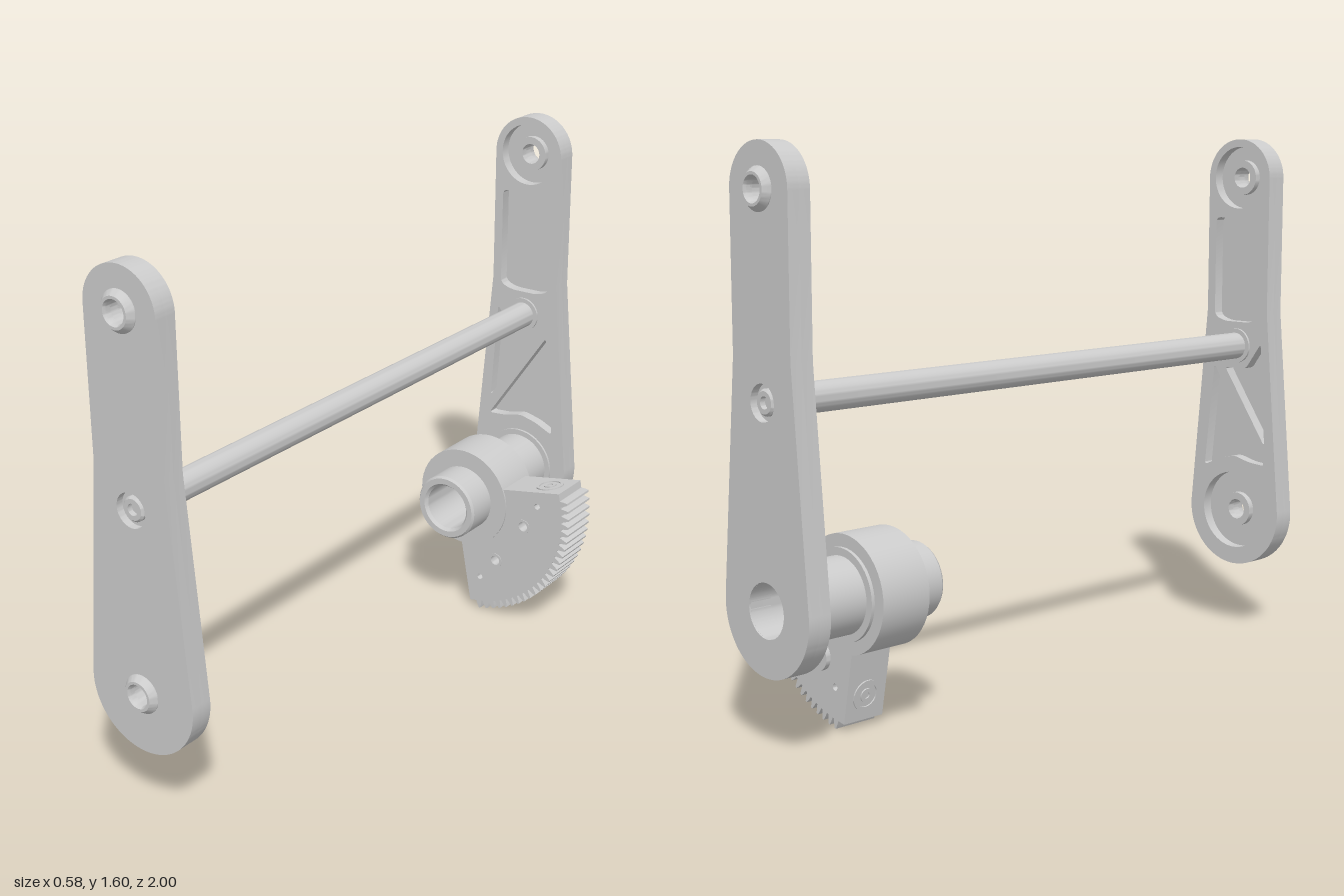
import * as THREE from 'three';
import { toCreasedNormals } from 'three/addons/utils/BufferGeometryUtils.js';

const material = new THREE.MeshStandardMaterial({ color: 0xcccccc });
const AXIS_X = -0.11, TOP = 1.478, MID = 0.938, LOW = 0.395;

function add(group, name, geometry, x = 0, y = 0, z = 0) {
  const mesh = new THREE.Mesh(toCreasedNormals(geometry, 0.5), material);
  mesh.name = name;
  mesh.position.set(x, y, z);
  group.add(mesh);
  return mesh;
}

// Extrude a shape between two z levels
function slab(shape, za, zb) {
  const g = new THREE.ExtrudeGeometry(shape, { depth: Math.abs(zb - za), bevelEnabled: false, curveSegments: 32 });
  return g.translate(0, 0, Math.min(za, zb));
}

// Turned part about z; profile is [radius, z] counter-clockwise, s = -1 mirrors it in z
function turned(profile, s = 1) {
  const pts = profile.map(([r, z]) => new THREE.Vector2(r, z * s));
  if (s < 0) pts.reverse();
  pts.push(pts[0].clone());
  return new THREE.LatheGeometry(pts, 48).rotateX(Math.PI / 2);
}

const tube = (ro, ri, z0, z1, s = 1) => turned([[ri, z0], [ro, z0], [ro, z1], [ri, z1]], s);

function circle(y, r, x = 0) {
  return new THREE.Path().absarc(x, y, r, 0, Math.PI * 2, true);
}

// Closed polygon with rounded corners
function roundedPath(points, r) {
  const p = points.map(([x, y]) => new THREE.Vector2(x, y));
  const path = new THREE.Path();
  p.forEach((c, i) => {
    const prev = p[(i + p.length - 1) % p.length], next = p[(i + 1) % p.length];
    const a = c.clone().add(prev.clone().sub(c).setLength(r));
    const b = c.clone().add(next.clone().sub(c).setLength(r));
    if (i) path.lineTo(a.x, a.y); else path.moveTo(a.x, a.y);
    path.quadraticCurveTo(c.x, c.y, b.x, b.y);
  });
  path.closePath();
  return path;
}

function armOutline() {
  const s = new THREE.Shape();
  s.absarc(0, TOP, 0.122, 0, Math.PI, false);
  s.lineTo(-0.122, 1.05);
  s.absarc(0, LOW, 0.18, Math.PI - 0.09, Math.PI * 2 + 0.09, false);
  s.lineTo(0.122, 1.05);
  s.closePath();
  return s;
}

// Side arm with pockets on its inner face; s is the side along z
function arm(s) {
  const g = new THREE.Group();
  g.name = s > 0 ? 'frontArm' : 'rearArm';
  g.position.x = AXIS_X;
  const front = s > 0;

  const floor = armOutline();
  floor.holes.push(circle(TOP, 0.032), circle(MID, 0.05), circle(LOW, front ? 0.032 : 0.075));
  add(g, 'armWeb', slab(floor, s * 0.945, s * 0.98));

  const frame = armOutline();
  frame.holes.push(
    circle(TOP, 0.098),
    circle(LOW, front ? 0.125 : 0.075),
    roundedPath([[-0.092, 1.35], [-0.092, 1.03], [-0.05, 1.015], [0.05, 1.015], [0.092, 1.03], [0.092, 1.35]], 0.02),
    roundedPath([[-0.1, 0.95], [-0.122, 0.62], [0.045, 0.865], [-0.04, 0.865]], 0.015),
    roundedPath([[0.09, 0.87], [-0.125, 0.555], [-0.06, 0.56], [0, 0.575], [0.06, 0.56], [0.125, 0.53]], 0.015)
  );
  add(g, 'armRibs', slab(frame, s * 0.91, s * 0.945));

  // Pivot bosses: cone outside, low collar inside
  for (const y of front ? [TOP, LOW] : [TOP]) {
    add(g, 'pivotBoss', turned([[0.032, 0.975], [0.058, 0.975], [0.058, 0.982], [0.044, 1], [0.036, 1], [0.032, 0.992]], s), 0, y);
    add(g, 'pivotCollar', tube(0.055, 0.032, 0.925, 0.95, s), 0, y);
  }
  // Sunken screw holding the cross rod
  add(g, 'rodScrewSeat', tube(0.05, 0.001, 0.94, 0.958, s), 0, MID);
  add(g, 'rodScrewHead', turned([[0.017, 0.95], [0.036, 0.95], [0.036, 0.968], [0.03, 0.974], [0.017, 0.974]], s), 0, MID);
  add(g, 'rodCollar', tube(0.056, 0.03, 0.903, 0.92, s), 0, MID);
  return g;
}

// Toothed sector clamped on the shaft
function gearSector() {
  const g = new THREE.Group();
  g.name = 'gearSector';
  g.position.set(AXIS_X, LOW, 0);
  const deg = Math.PI / 180, root = 0.374, tip = 0.4, z0 = -0.705, z1 = -0.57;
  const teeth = 24, first = -79.8, pitch = 3.95;
  const at = (r, a) => new THREE.Vector2(r * Math.cos(a * deg), r * Math.sin(a * deg));
  const pts = [at(0.05, -34.4), at(0.135, -95), at(0.376, -85.1)];
  for (let i = 0; i < teeth; i++) {
    const a = first + i * pitch;
    pts.push(at(root, a - 1.5), at(0.388, a - 1), at(tip, a - 0.45), at(tip, a + 0.45), at(0.388, a + 1), at(root, a + 1.5));
  }
  pts.push(at(0.376, 16.3), at(0.135, 26.2));
  const shape = new THREE.Shape(pts);
  const holes = [-11, -57].map(a => at(0.236, a));
  const pins = [8, -76].map(a => at(0.285, a));
  for (const h of holes) shape.holes.push(circle(h.y, 0.023, h.x));
  for (const h of pins) shape.holes.push(circle(h.y, 0.01, h.x));
  add(g, 'toothedSector', slab(shape, z0, z1));

  // Screws and pins through the sector
  for (const h of holes) {
    add(g, 'screwBoss', tube(0.042, 0.024, -0.72, -0.7), h.x, h.y);
    add(g, 'screwSleeve', tube(0.024, 0.016, -0.715, -0.568), h.x, h.y);
  }
  // Screw seats on the two end faces
  for (const [a, side] of [[10.6, 1], [-79.4, -1]]) {
    const pivot = new THREE.Group();
    pivot.name = 'endScrew';
    pivot.rotation.z = a * deg;
    for (const [ro, ri] of [[0.045, 0.034], [0.02, 0.009]]) {
      add(pivot, 'endScrewRing', tube(ro, ri, -0.003, 0.004).rotateX(-Math.PI / 2 * side), 0.3, 0.037 * side, -0.6375);
    }
    g.add(pivot);
  }

  add(g, 'hub', tube(0.166, 0.1, -0.725, -0.565));
  add(g, 'hubCollar', tube(0.13, 0.1, -0.735, -0.72));
  return g;
}

export function createModel() {
  const model = new THREE.Group();
  model.name = 'leverAssembly';
  model.add(arm(1), arm(-1), gearSector());

  // Rod joining both arms
  const rod = new THREE.CylinderGeometry(0.042, 0.042, 1.88, 40).rotateX(Math.PI / 2);
  add(model, 'crossRod', rod, AXIS_X, MID);

  // Hollow shaft fixed to the rear arm
  add(model, 'hollowShaft', turned([[0.075, -0.975], [0.108, -0.975], [0.108, -0.468], [0.102, -0.46], [0.083, -0.46], [0.075, -0.47]]), AXIS_X, LOW);
  add(model, 'shaftFlange', tube(0.126, 0.1, -0.93, -0.902), AXIS_X, LOW);
  return model;
}
